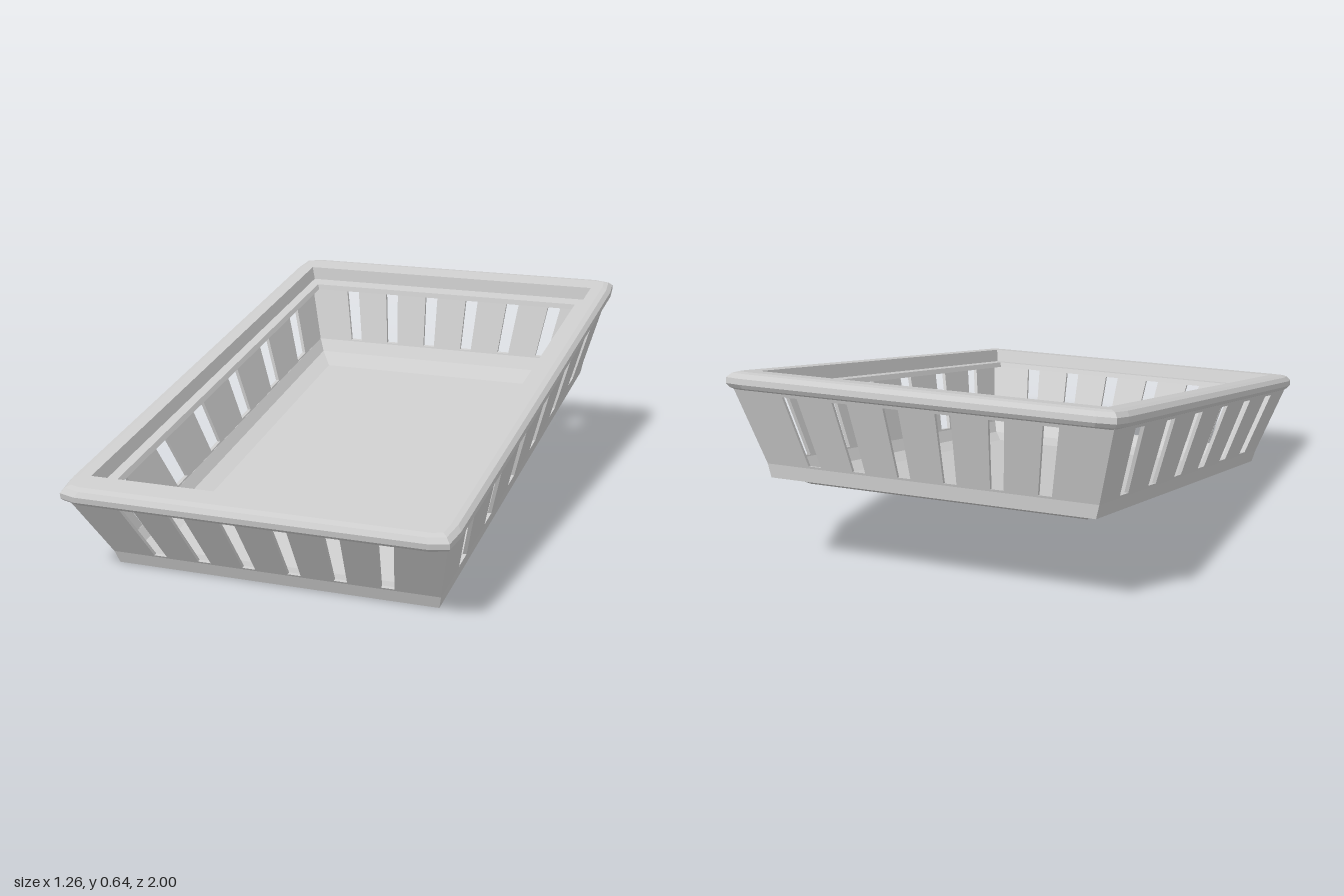
import * as THREE from 'three';

const TILT = THREE.MathUtils.degToRad(10);
const WALL = 0.012;
const Y0 = 0.185, Y1 = 0.415; // slotted wall bottom and top

// Wall half extents at a given height
const lerpAt = (a, b) => y => a + (b - a) * (y - Y0) / (Y1 - Y0);
const halfX = lerpAt(0.54, 0.606);
const halfZ = lerpAt(0.867, 0.975);

const material = new THREE.MeshStandardMaterial({
  color: 0xcccccc, flatShading: true, side: THREE.DoubleSide,
});

// Rectangular ring of 12 points; k = 1 gives softly clipped corners
function ring([hx, hz, y, k = 0]) {
  const a = [hx - 0.065 * k, hz];
  const b = [hx - 0.01 * k, hz - 0.015 * k];
  const c = [hx, hz - 0.09 * k];
  const quadrant = (sx, sz, pts) => pts.map(([x, z]) => [sx * x, y, sz * z]);
  return [
    ...quadrant(1, 1, [a, b, c]), ...quadrant(1, -1, [c, b, a]),
    ...quadrant(-1, -1, [a, b, c]), ...quadrant(-1, 1, [c, b, a]),
  ];
}

// Skin a list of rings, either closed on itself or capped at both ends
function loft(sections, closed) {
  const rings = sections.map(ring), n = 12, index = [];
  const steps = closed ? rings.length : rings.length - 1;
  for (let s = 0; s < steps; s++) {
    const r = s * n, q = ((s + 1) % rings.length) * n;
    for (let i = 0; i < n; i++) {
      const j = (i + 1) % n;
      index.push(r + i, r + j, q + j, r + i, q + j, q + i);
    }
  }
  if (!closed) {
    const last = (rings.length - 1) * n;
    for (let i = 1; i < n - 1; i++) {
      index.push(0, i + 1, i, last, last + i, last + i + 1);
    }
  }
  const geo = new THREE.BufferGeometry();
  geo.setAttribute('position', new THREE.Float32BufferAttribute(rings.flat(2), 3));
  geo.setIndex(index);
  const flat = geo.toNonIndexed();
  flat.computeVertexNormals();
  return flat;
}

// Leaning wall with six fanned slots, built facing +z
function slottedWall(span, offset, slot) {
  const poly = (Type, pts) => new Type(pts.map(p => new THREE.Vector2(...p)));
  const shape = poly(THREE.Shape, [
    [-span(Y0), Y0], [span(Y0), Y0], [span(Y1), Y1], [-span(Y1), Y1],
  ]);
  const lo = 0.192, hi = 0.404;
  for (let i = 0; i < 6; i++) {
    const b = (i - 2.5) * slot.low, t = (i - 2.5) * slot.high;
    const wb = slot.wLow / 2, wt = slot.wHigh / 2;
    shape.holes.push(poly(THREE.Path, [
      [b - wb, lo], [t - wt, hi], [t + wt, hi], [b + wb, lo],
    ]));
  }
  const geo = new THREE.ExtrudeGeometry(shape, { depth: WALL, bevelEnabled: false });
  const p = geo.attributes.position;
  for (let i = 0; i < p.count; i++) p.setZ(i, offset(p.getY(i)) - WALL + p.getZ(i));
  geo.computeVertexNormals();
  return geo;
}

export function createModel() {
  const model = new THREE.Group();
  model.name = 'tiltedTray';
  const tray = new THREE.Group();
  tray.name = 'tray';
  tray.rotation.x = TILT;
  tray.position.set(0, 0.0135, -0.0763);
  model.add(tray);

  const add = (name, geo, turn = 0) => {
    const mesh = new THREE.Mesh(geo, material);
    mesh.name = name;
    mesh.rotation.y = turn;
    tray.add(mesh);
  };

  // Floor with a bevelled foot below and a dished inside
  add('base', loft([
    [0.46, 0.736, 0.117], [0.5, 0.8, 0.142], [0.53, 0.858, 0.142],
    [0.54, 0.867, 0.185], [0.528, 0.855, 0.187],
    [0.505, 0.82, 0.15], [0.45, 0.735, 0.13],
  ], false));

  // Four slotted walls
  const endSlots = { low: 0.15, high: 0.167, wLow: 0.043, wHigh: 0.05 };
  const sideSlots = { low: 0.264, high: 0.2955, wLow: 0.075, wHigh: 0.083 };
  const endWall = slottedWall(halfX, halfZ, endSlots);
  const sideWall = slottedWall(halfZ, halfX, sideSlots);
  add('frontWall', endWall);
  add('backWall', endWall, Math.PI);
  add('leftWall', sideWall, Math.PI / 2);
  add('rightWall', sideWall, -Math.PI / 2);

  // Rounded rim with a stepped inner ledge
  add('rim', loft([
    [0.6, 0.968, 0.412], [0.622, 1.003, 0.42, 1], [0.63, 1.013, 0.432, 1],
    [0.63, 1.013, 0.45, 1], [0.618, 1.0, 0.464, 1], [0.6, 0.98, 0.469, 0.6],
    [0.56, 0.905, 0.469], [0.55, 0.893, 0.425], [0.515, 0.84, 0.425],
    [0.508, 0.833, 0.408], [0.59, 0.955, 0.408],
  ], true));

  return model;
}
